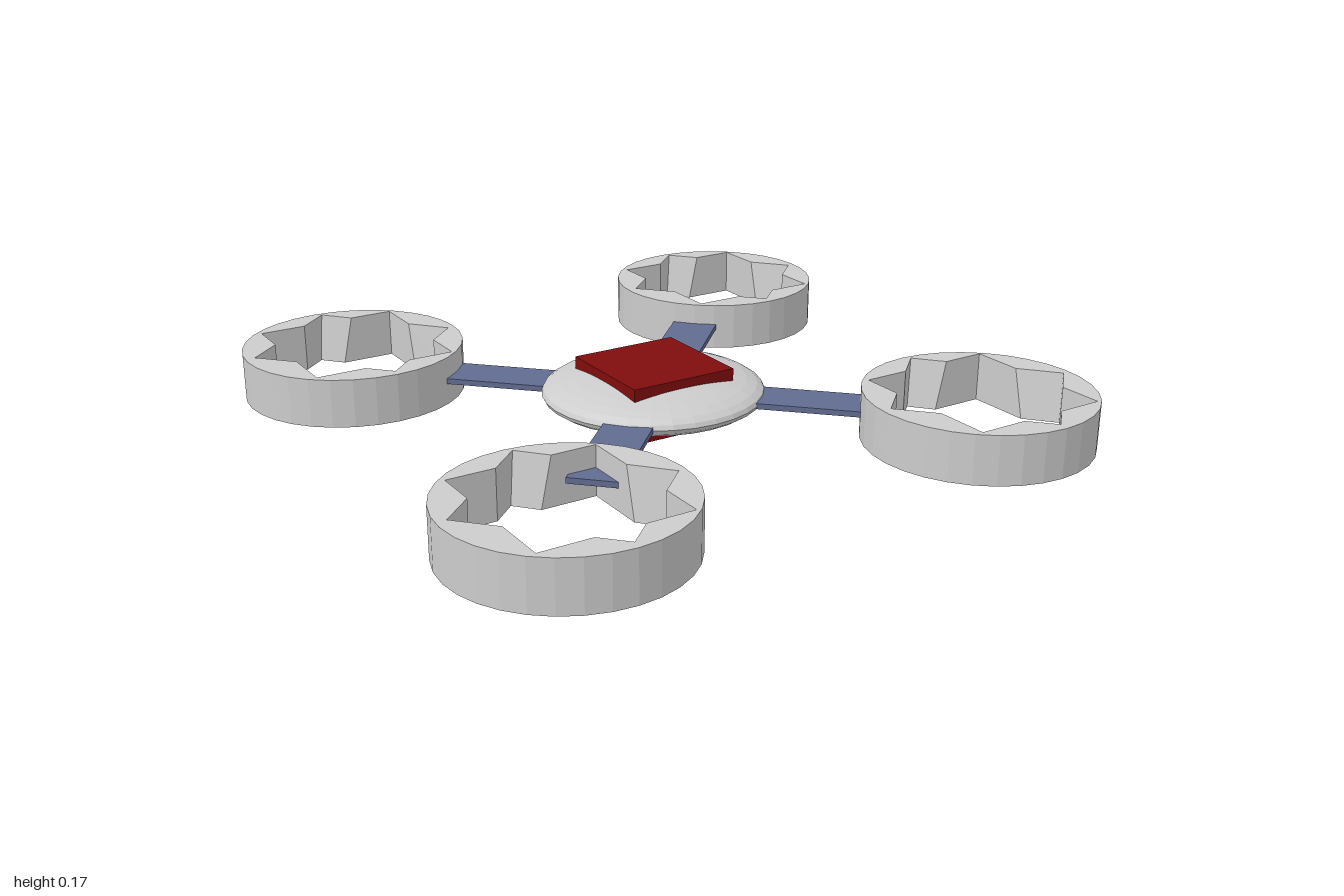
import * as THREE from 'three';

const shell = new THREE.MeshStandardMaterial({ color: 0xcccccc });
shell.name = 'lightGrey';
const red = new THREE.MeshStandardMaterial({ color: 0x800d0d });
red.name = 'darkRed';
const blue = new THREE.MeshStandardMaterial({ color: 0x606c90 });
blue.name = 'slateBlue';

const MID = 0.084;

function addMesh(parent, name, geometry, material, x = 0, y = 0, z = 0) {
  const mesh = new THREE.Mesh(geometry, material);
  mesh.name = name;
  mesh.position.set(x, y, z);
  parent.add(mesh);
  return mesh;
}

// Eight-pointed opening: an upright square joined with a turned one,
// the turned one shifted by (dx, dz)
function starPoints(dx, dz) {
  const corners = [[0.02, -0.317], [0.309, 0.02], [0.007, 0.303], [-0.301, -0.028]]
    .map(([x, z]) => [x + dx, z + dz]);
  const sides = [-0.237, 0.22, 0.234, -0.208]; // back, right, front, left
  const points = [];
  const cross = (a, b, side) => {
    const axis = side % 2 ? 0 : 1;
    const t = (sides[side] - a[axis]) / (b[axis] - a[axis]);
    return [a[0] + t * (b[0] - a[0]), a[1] + t * (b[1] - a[1])];
  };
  for (let i = 0; i < 4; i++) {
    const n = (i + 1) % 4;
    const a = corners[i], b = corners[n];
    const squareCorner = i % 2 ? [sides[i], sides[n]] : [sides[n], sides[i]];
    points.push(a, cross(a, b, i), squareCorner, cross(a, b, n));
  }
  return points.map(([x, z]) => new THREE.Vector2(x, z));
}

// Round guard with a slightly slanted star opening
function guardGeometry(radius, top, height) {
  const upper = starPoints(0, 0);
  const lower = starPoints(-0.018, 0.016);
  const outline = [];
  for (let i = 0; i < 32; i++) {
    const a = (i / 32) * Math.PI * 2;
    outline.push(new THREE.Vector2(Math.cos(a) * radius, Math.sin(a) * radius));
  }
  const shape = new THREE.Shape(outline);
  shape.holes.push(new THREE.Path(upper));
  const geometry = new THREE.ExtrudeGeometry(shape, { depth: height, bevelEnabled: false });
  // Slide the lower rim of the opening
  const pos = geometry.attributes.position;
  for (let i = 0; i < pos.count; i++) {
    if (pos.getZ(i) < height / 2) continue;
    const k = upper.findIndex(p => Math.hypot(p.x - pos.getX(i), p.y - pos.getY(i)) < 1e-4);
    if (k >= 0) pos.setXY(i, lower[k].x, lower[k].y);
  }
  geometry.rotateX(Math.PI / 2);
  geometry.translate(0, top, 0);
  geometry.computeVertexNormals();
  return geometry;
}

export function createModel() {
  const model = new THREE.Group();
  model.name = 'quadcopter';

  // Flattened, faceted body
  const body = new THREE.SphereGeometry(0.331, 32, 16).toNonIndexed();
  body.scale(1, 0.067 / 0.331, 1);
  body.computeVertexNormals();
  addMesh(model, 'body', body, shell, 0, MID, 0);

  // Square block passing through the body
  addMesh(model, 'centreBlock', new THREE.BoxGeometry(0.337, 0.168, 0.337), red, 0, MID, 0);

  // Two crossed arms
  for (const side of [1, -1]) {
    const arm = addMesh(model, 'crossArm', new THREE.BoxGeometry(1.4, 0.017, 0.143), blue, 0, MID, 0);
    arm.rotation.y = side * Math.PI / 4;
  }

  // Four identical rotor guards
  const guard = guardGeometry(0.333, 0.157, 0.146);
  for (const x of [-0.667, 0.667]) {
    for (const z of [-0.667, 0.667]) {
      addMesh(model, 'rotorGuard', guard, shell, x, 0, z);
    }
  }
  return model;
}
